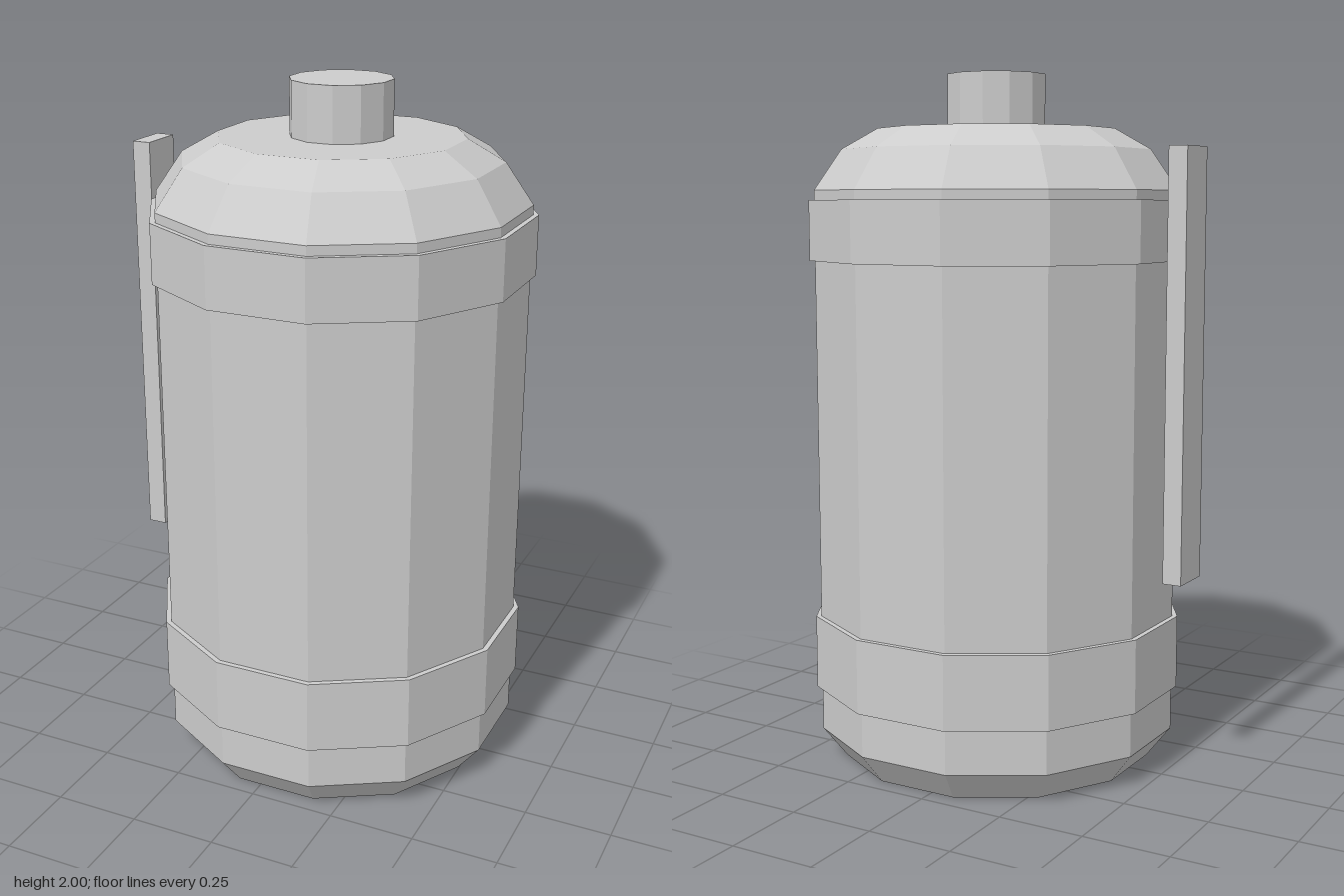
import * as THREE from 'three';

const SIDES = 12;
const AXIS_X = 0.05; // the canister sits beside its handle
const toCorner = 1 / Math.cos(Math.PI / SIDES); // flat-side distance to corner radius

export function createModel() {
  const group = new THREE.Group();
  const grey = new THREE.MeshStandardMaterial({ color: 0xcccccc });
  grey.name = 'light grey';
  grey.flatShading = true;

  const add = (name, geometry, x, y, z) => {
    const mesh = new THREE.Mesh(geometry, grey);
    mesh.name = name;
    mesh.position.set(x, y, z);
    group.add(mesh);
  };

  // Twelve-sided solid of revolution with flat sides facing the axes
  const turned = (name, profile) => {
    const points = profile.map(([r, y]) => new THREE.Vector2(r * toCorner, y));
    const geometry = new THREE.LatheGeometry(points, SIDES, Math.PI / SIDES);
    add(name, geometry, AXIS_X, 0, 0);
  };

  // Closed ring or plug between two heights
  const drum = (name, r, y0, y1) =>
    turned(name, [[0, y0], [r, y0], [r, y1], [0, y1]]);

  // Canister with chamfered base and stepped dome
  turned('body', [
    [0, 0], [0.447, 0], [0.515, 0.09], [0.515, 1.67],
    [0.438, 1.785], [0.336, 1.845], [0, 1.845],
  ]);

  // Raised bands and top neck
  drum('lowerBand', 0.53, 0.22, 0.433);
  drum('upperBand', 0.53, 1.472, 1.643);
  drum('neck', 0.14, 1.83, 2);

  // Upright lever standing clear of the side
  add('lever', new THREE.BoxGeometry(0.055, 1.205, 0.135), -0.553, 1.185, -0.002);

  return group;
}
